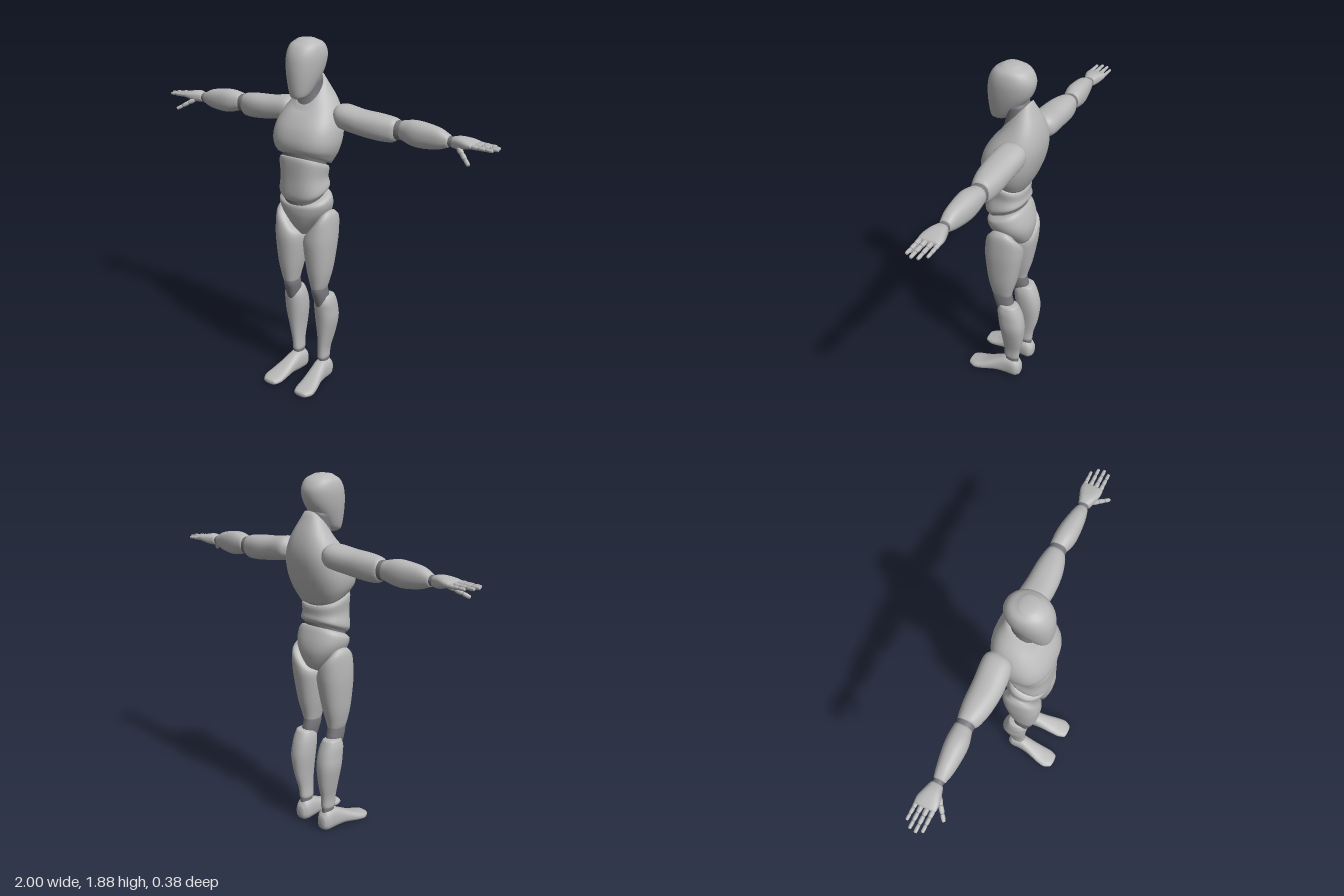
import * as THREE from 'three';

const V = (x, y, z) => new THREE.Vector3(x, y, z);
const shell = new THREE.MeshStandardMaterial({ color: 0xb9b9b9 });
shell.name = 'light grey shell';
const joint = new THREE.MeshStandardMaterial({ color: 0x77777c });
joint.name = 'dark grey joint';

// Each ring is [centre, u, v]; u x v points along the loft.
const torsoRing = ([zf, yf, zb, yb, w]) =>
  [V(0, (yf + yb) / 2, (zf + zb) / 2), V(w, 0, 0), V(0, (yb - yf) / 2, (zb - zf) / 2)];
const legRing = ([xi, yi, xo, yo, zf, zb]) =>
  [V((xi + xo) / 2, (yi + yo) / 2, (zf + zb) / 2), V((xo - xi) / 2, (yo - yi) / 2, 0), V(0, 0, (zb - zf) / 2)];
const armRing = ([x, yb, yt, zb, zf]) =>
  [V(x, (yb + yt) / 2, (zb + zf) / 2), V(0, (yt - yb) / 2, 0), V(0, 0, (zf - zb) / 2)];
const footRing = ([z, x, w, yb, yt]) =>
  [V(x, (yb + yt) / 2, z), V(w, 0, 0), V(0, (yt - yb) / 2, 0)];

// Smooth closed loft through superelliptical rings, with domed ends.
function loft(rings, { dome = 0.008, power = 2.3, seg = 32, steps = 4 } = {}) {
  const curves = [0, 1, 2].map(k => new THREE.CatmullRomCurve3(rings.map(r => r[k]), false, 'catmullrom', 0.5));
  const n = (rings.length - 1) * steps;
  const sections = [];
  for (let i = 0; i <= n; i++) sections.push(curves.map(c => c.getPoint(i / n)));
  const cap = ([c, u, v], sign) => [30, 60, 80].map(deg => {
    const a = deg * Math.PI / 180;
    const out = u.clone().cross(v).normalize().multiplyScalar(sign * dome * Math.sin(a));
    return [c.clone().add(out), u.clone().multiplyScalar(Math.cos(a)), v.clone().multiplyScalar(Math.cos(a))];
  });
  const all = [...cap(sections[0], -1).reverse(), ...sections, ...cap(sections[n], 1)];
  const pos = [], idx = [];
  const bend = t => Math.sign(t) * Math.pow(Math.abs(t), 2 / power);
  for (const [c, u, v] of all) {
    for (let j = 0; j < seg; j++) {
      const a = j / seg * Math.PI * 2;
      const p = c.clone().addScaledVector(u, bend(Math.cos(a))).addScaledVector(v, bend(Math.sin(a)));
      pos.push(p.x, p.y, p.z);
    }
  }
  for (let i = 0; i < all.length - 1; i++) {
    for (let j = 0; j < seg; j++) {
      const a = i * seg + j, b = i * seg + (j + 1) % seg;
      idx.push(a, b, b + seg, a, b + seg, a + seg);
    }
  }
  const first = pos.length / 3, last = first - seg;
  for (const [c] of [all[0], all[all.length - 1]]) pos.push(c.x, c.y, c.z);
  for (let j = 0; j < seg; j++) {
    const k = (j + 1) % seg;
    idx.push(first, k, j, first + 1, last + j, last + k);
  }
  const g = new THREE.BufferGeometry();
  g.setAttribute('position', new THREE.Float32BufferAttribute(pos, 3));
  g.setIndex(idx);
  g.computeVertexNormals();
  return g;
}

function mirrored(geometry) {
  const g = geometry.clone();
  const p = g.attributes.position, ix = g.index;
  for (let i = 0; i < p.count; i++) p.setX(i, -p.getX(i));
  for (let i = 0; i < ix.count; i += 3) {
    const t = ix.getX(i);
    ix.setX(i, ix.getX(i + 1));
    ix.setX(i + 1, t);
  }
  g.computeVertexNormals();
  return g;
}

export function createModel() {
  const model = new THREE.Group();
  model.name = 'mannequin';
  const add = (name, geometry, material) => {
    const m = new THREE.Mesh(geometry, material);
    m.name = name;
    model.add(m);
  };
  const pair = (name, geometry, material) => {
    const title = name[0].toUpperCase() + name.slice(1);
    add('left' + title, geometry, material);
    add('right' + title, mirrored(geometry), material);
  };

  // Head and trunk: front z, front y, back z, back y, half width
  const trunk = (name, rows, material, options) => add(name, loft(rows.map(torsoRing), options), material);
  trunk('head', [
    [0.078, 1.6, 0.005, 1.61, 0.032], [0.093, 1.612, -0.03, 1.64, 0.051], [0.103, 1.67, -0.098, 1.715, 0.073],
    [0.106, 1.74, -0.125, 1.765, 0.086], [0.098, 1.805, -0.13, 1.815, 0.09],
    [0.073, 1.852, -0.105, 1.858, 0.079], [0.035, 1.877, -0.06, 1.879, 0.05]], shell, { power: 2.15 });
  trunk('neck', [
    [0.028, 1.5, -0.09, 1.5, 0.064], [0.022, 1.56, -0.1, 1.58, 0.063],
    [0.008, 1.62, -0.1, 1.66, 0.062], [0, 1.68, -0.095, 1.7, 0.062]], joint);
  trunk('chest', [
    [0.108, 1.337, -0.103, 1.247, 0.138], [0.117, 1.36, -0.138, 1.315, 0.166], [0.117, 1.4, -0.168, 1.4, 0.178],
    [0.1, 1.455, -0.183, 1.5, 0.168], [0.064, 1.51, -0.165, 1.6, 0.13], [0.035, 1.54, -0.113, 1.71, 0.068]],
    shell, { power: 2.5 });
  trunk('waistCore', [
    [0.088, 1.0, -0.09, 1.06, 0.105], [0.097, 1.12, -0.09, 1.16, 0.108],
    [0.097, 1.24, -0.09, 1.2, 0.108], [0.1, 1.37, -0.09, 1.29, 0.12]], joint);
  trunk('abdomen', [
    [0.098, 1.077, -0.093, 1.148, 0.116], [0.109, 1.11, -0.104, 1.165, 0.13], [0.109, 1.2, -0.1, 1.19, 0.12],
    [0.111, 1.285, -0.1, 1.22, 0.126], [0.106, 1.312, -0.096, 1.235, 0.122]], shell, { power: 2.5 });
  trunk('pelvis', [
    [0.03, 0.88, -0.05, 0.88, 0.022], [0.07, 0.93, -0.11, 0.915, 0.062], [0.092, 0.99, -0.133, 0.985, 0.115],
    [0.098, 1.03, -0.13, 1.045, 0.14], [0.096, 1.052, -0.11, 1.105, 0.144], [0.085, 1.065, -0.095, 1.13, 0.128]],
    shell);

  // Legs: inner x, inner y, outer x, outer y, front z, back z
  const leg = (name, rows, material, options) => pair(name, loft(rows.map(legRing), options), material);
  leg('thigh', [
    [0.055, 0.585, 0.127, 0.585, 0.048, -0.058], [0.047, 0.62, 0.138, 0.62, 0.056, -0.066],
    [0.03, 0.7, 0.155, 0.7, 0.071, -0.088], [0.012, 0.82, 0.168, 0.82, 0.084, -0.111],
    [0.014, 0.87, 0.172, 0.9, 0.083, -0.119], [0.038, 0.895, 0.168, 0.995, 0.07, -0.115],
    [0.068, 0.93, 0.15, 1.03, 0.042, -0.08]], shell, { dome: 0.012 });
  leg('knee', [
    [0.066, 0.47, 0.124, 0.47, 0.012, -0.06], [0.056, 0.525, 0.13, 0.525, 0.032, -0.07],
    [0.054, 0.57, 0.128, 0.57, 0.047, -0.062], [0.06, 0.61, 0.122, 0.61, 0.044, -0.055]], joint);
  leg('shin', [
    [0.058, 0.14, 0.112, 0.14, -0.017, -0.102], [0.06, 0.2, 0.116, 0.2, -0.015, -0.108],
    [0.055, 0.28, 0.134, 0.28, -0.008, -0.128], [0.044, 0.38, 0.155, 0.38, 0.003, -0.138],
    [0.042, 0.45, 0.156, 0.45, 0.011, -0.128], [0.046, 0.495, 0.154, 0.495, 0.013, -0.113],
    [0.056, 0.525, 0.145, 0.53, 0, -0.098]], shell);
  leg('ankle', [
    [0.06, 0.09, 0.11, 0.09, -0.025, -0.1], [0.061, 0.15, 0.109, 0.15, -0.022, -0.098]], joint);

  // Feet: z, centre x, half width, sole y, top y
  pair('foot', loft([
    [-0.108, 0.085, 0.03, 0.02, 0.1], [-0.085, 0.084, 0.042, 0.008, 0.123], [-0.03, 0.086, 0.041, 0.008, 0.125],
    [0.03, 0.093, 0.044, 0.014, 0.098], [0.1, 0.103, 0.053, 0.009, 0.064], [0.15, 0.107, 0.055, 0.006, 0.049],
    [0.185, 0.105, 0.04, 0.01, 0.04]].map(footRing), { power: 2.5 }), shell);

  // Arms: x, bottom y, top y, back z, front z
  const arm = (name, rows, material, options) => pair(name, loft(rows.map(armRing), options), material);
  arm('upperArm', [
    [0.13, 1.46, 1.552, -0.15, -0.045], [0.17, 1.445, 1.568, -0.169, -0.022], [0.28, 1.43, 1.555, -0.163, -0.015],
    [0.38, 1.42, 1.55, -0.16, -0.024], [0.45, 1.42, 1.542, -0.151, -0.043],
    [0.472, 1.432, 1.534, -0.145, -0.055]], shell);
  arm('elbow', [[0.45, 1.437, 1.53, -0.142, -0.058], [0.485, 1.437, 1.53, -0.142, -0.058],
    [0.52, 1.442, 1.526, -0.14, -0.062]], joint);
  arm('forearm', [
    [0.5, 1.442, 1.533, -0.145, -0.058], [0.56, 1.425, 1.545, -0.148, -0.043], [0.62, 1.42, 1.543, -0.144, -0.042],
    [0.7, 1.43, 1.53, -0.13, -0.049], [0.75, 1.447, 1.507, -0.119, -0.06]], shell);
  arm('wrist', [[0.74, 1.452, 1.502, -0.114, -0.065], [0.79, 1.455, 1.5, -0.114, -0.065]], joint);
  arm('palm', [
    [0.775, 1.452, 1.504, -0.12, -0.06], [0.81, 1.45, 1.509, -0.132, -0.048],
    [0.85, 1.46, 1.504, -0.144, -0.038], [0.882, 1.467, 1.496, -0.144, -0.038]], shell, { power: 2.6 });

  // Fingers and thumbs: three tapering segments over a dark core
  const ringsAlong = (a, b, radii) => {
    const d = b.clone().sub(a).normalize();
    const v = d.clone().cross(V(0, 1, 0)).normalize(), u = v.clone().cross(d);
    return radii.map((r, i) =>
      [a.clone().lerp(b, i / (radii.length - 1)), u.clone().multiplyScalar(r), v.clone().multiplyScalar(r)]);
  };
  const small = { dome: 0.003, seg: 14, steps: 2, power: 2 };
  function digit(name, a, b, r) {
    pair(name + 'Core', loft(ringsAlong(a, a.clone().lerp(b, 0.9), [r * 0.75, r * 0.6]), small), joint);
    for (let i = 0; i < 3; i++) {
      const s = r * (1 - i * 0.12);
      const p = a.clone().lerp(b, i / 3 + 0.02), q = a.clone().lerp(b, (i + 1) / 3 - 0.02);
      pair(name + 'Segment' + (i + 1), loft(ringsAlong(p, q, [s * 0.9, s, s * 0.85]), small), shell);
    }
  }
  digit('littleFinger', V(0.875, 1.479, -0.133), V(0.965, 1.476, -0.136), 0.0105);
  digit('ringFinger', V(0.88, 1.481, -0.106), V(0.993, 1.477, -0.108), 0.0115);
  digit('middleFinger', V(0.88, 1.482, -0.078), V(0.999, 1.478, -0.078), 0.012);
  digit('indexFinger', V(0.88, 1.481, -0.051), V(0.985, 1.478, -0.05), 0.0115);
  digit('thumb', V(0.815, 1.462, -0.06), V(0.897, 1.41, 0), 0.0135);

  return model;
}
